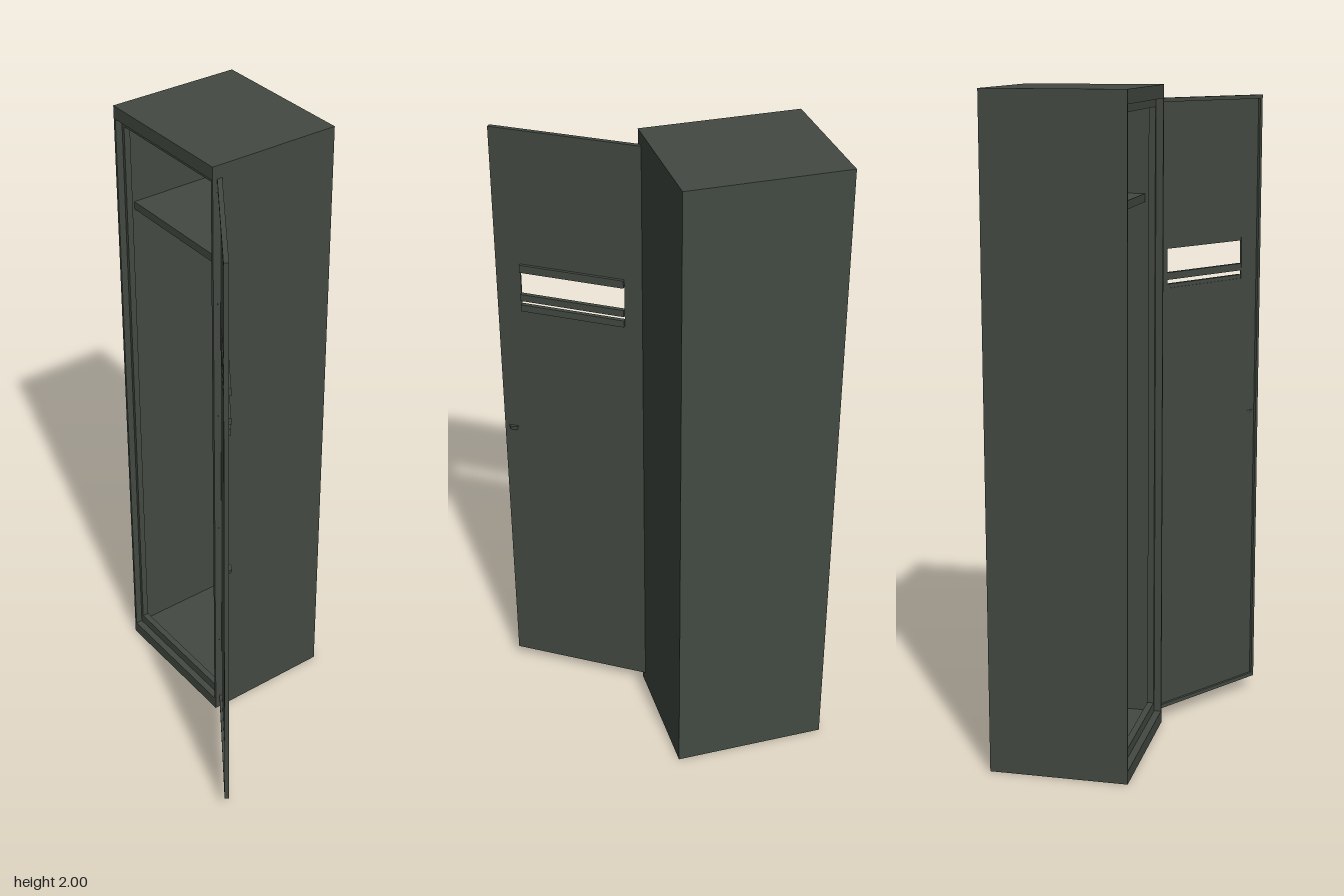
import * as THREE from 'three';

export function createModel() {
  const model = new THREE.Group();
  model.name = 'locker';
  const paint = new THREE.MeshStandardMaterial({ color: 0x434a42 });
  paint.name = 'dark green paint';

  // box given by its minimum and maximum corners
  const box = (parent, name, x0, x1, y0, y1, z0, z1) => {
    const mesh = new THREE.Mesh(new THREE.BoxGeometry(x1 - x0, y1 - y0, z1 - z0), paint);
    mesh.position.set((x0 + x1) / 2, (y0 + y1) / 2, (z0 + z1) / 2);
    mesh.name = name;
    parent.add(mesh);
    return mesh;
  };

  // cabinet shell
  const L = -0.43, R = 0.05, B = -0.33, F = 0.09, t = 0.008;
  const cabinet = new THREE.Group();
  cabinet.name = 'cabinet';
  model.add(cabinet);
  box(cabinet, 'leftWall', R - t, R, 0, 2, B, F);
  box(cabinet, 'rightWall', L, L + t, 0, 2, B, F);
  box(cabinet, 'backWall', L + t, R - t, 0, 2, B, B + t);
  box(cabinet, 'roof', L + t, R - t, 1.96, 2, B + t, F);
  box(cabinet, 'base', L + t, R - t, 0, 0.04, B + t, F);

  // recessed door stops around the opening
  const stopZ = 0.068;
  box(cabinet, 'topStop', L + t, R - t, 1.935, 1.96, stopZ - 0.02, stopZ);
  box(cabinet, 'bottomStop', L + t, R - t, 0.04, 0.07, stopZ - 0.02, stopZ);
  for (const [name, x0, x1] of [['rightStop', L + t, L + 0.018], ['leftStop', R - 0.018, R - t]]) {
    box(cabinet, name, x0, x1, 0.07, 1.935, stopZ - 0.02, stopZ);
  }

  // upper shelf
  box(cabinet, 'shelf', L + t, R - t, 1.655, 1.68, B + t, 0.035);

  // open door: local x runs from hinge to free edge, local -z is its outer face
  const door = new THREE.Group();
  door.name = 'door';
  door.position.set(R, 0, 0.058);
  door.rotation.y = -0.597;
  model.add(door);
  const W = 0.458, y0 = 0.04, y1 = 1.96, v0 = 0.055, v1 = 0.38;
  const rect = (C, a, b, c, d) => {
    const s = new C();
    s.moveTo(a, c); s.lineTo(b, c); s.lineTo(b, d); s.lineTo(a, d); s.closePath();
    return s;
  };
  const face = rect(THREE.Shape, 0, W, y0, y1);
  face.holes.push(rect(THREE.Path, v0, v1, 1.39, 1.52));
  const panel = new THREE.Mesh(new THREE.ExtrudeGeometry(face, { depth: 0.006, bevelEnabled: false }), paint);
  panel.name = 'doorPanel';
  door.add(panel);

  // folded rim on the inner face
  box(door, 'rimTop', 0, W, y1 - 0.012, y1, 0.006, 0.014);
  box(door, 'rimBottom', 0, W, y0, y0 + 0.012, 0.006, 0.014);
  box(door, 'rimHinge', 0, 0.01, y0 + 0.012, y1 - 0.012, 0.006, 0.014);
  box(door, 'rimFree', W - 0.01, W, y0 + 0.012, y1 - 0.012, 0.006, 0.014);

  // vent: hood, slat and sill standing proud of the outer face
  for (const [name, a, b] of [['ventHood', 1.51, 1.535], ['ventSlat', 1.415, 1.437], ['ventSill', 1.38, 1.402]]) {
    box(door, name, v0, v1, a, b, -0.009, 0.004);
  }

  // small cup pull near the free edge
  const pull = new THREE.Mesh(new THREE.CylinderGeometry(0.015, 0.012, 0.014, 16), paint);
  pull.scale.z = 0.65;
  pull.position.set(0.429, 0.95, 0);
  pull.name = 'doorPull';
  door.add(pull);

  // hinge knuckles
  for (const y of [0.3, 1, 1.7]) {
    const hinge = new THREE.Mesh(new THREE.CylinderGeometry(0.005, 0.005, 0.07, 12), paint);
    hinge.position.set(R - 0.003, y, 0.07);
    hinge.name = 'hinge';
    cabinet.add(hinge);
  }
  return model;
}
